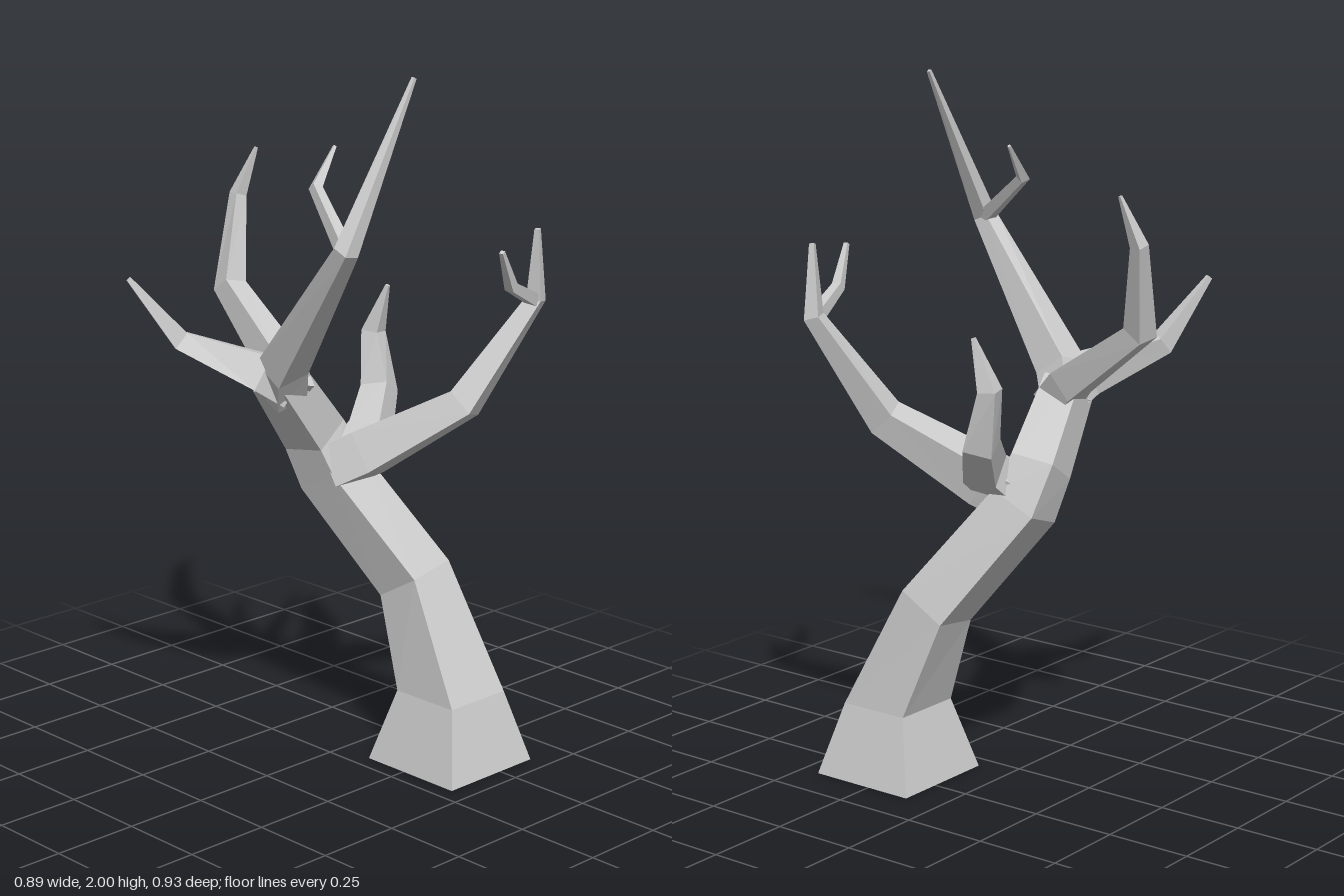
import * as THREE from 'three';

const material = new THREE.MeshStandardMaterial({ color: 0xcccccc, flatShading: true });

// Four-sided tapering limb through points [x, y, z, halfWidth, level?]; level keeps that ring horizontal.
function limb(name, points, reference = [1, 0, 0]) {
  const centres = points.map(p => new THREE.Vector3(p[0], p[1], p[2]));
  const last = points.length - 1;
  const ref = new THREE.Vector3(...reference);
  const positions = [];
  const index = [];
  points.forEach((p, k) => {
    const t = new THREE.Vector3();
    if (p[4]) t.set(0, 1, 0);
    else {
      if (k > 0) t.add(centres[k].clone().sub(centres[k - 1]).normalize());
      if (k < last) t.add(centres[k + 1].clone().sub(centres[k]).normalize());
      t.normalize();
    }
    const u = ref.clone().addScaledVector(t, -ref.dot(t)).normalize();
    const v = t.clone().cross(u);
    for (const [a, b] of [[1, 1], [-1, 1], [-1, -1], [1, -1]]) {
      const c = centres[k].clone().addScaledVector(u, a * p[3]).addScaledVector(v, b * p[3]);
      positions.push(c.x, c.y, c.z);
    }
    ref.copy(u);
    if (k === last) return;
    for (let i = 0; i < 4; i++) {
      const a = k * 4 + i, b = k * 4 + (i + 1) % 4;
      index.push(a, b, b + 4, a, b + 4, a + 4);
    }
  });
  // End caps
  const e = last * 4;
  index.push(0, 2, 1, 0, 3, 2, e, e + 1, e + 2, e, e + 2, e + 3);
  const geometry = new THREE.BufferGeometry();
  geometry.setAttribute('position', new THREE.Float32BufferAttribute(positions, 3));
  geometry.setIndex(index);
  const flat = geometry.toNonIndexed();
  flat.computeVertexNormals();
  const mesh = new THREE.Mesh(flat, material);
  mesh.name = name;
  return mesh;
}

export function createModel() {
  const tree = new THREE.Group();
  tree.name = 'bareTree';
  tree.add(
    // Flared foot, leaning trunk and its bend towards the upper fork
    limb('trunk', [
      [0.215, 0, 0.275, 0.165, 1], [0.215, 0.21, 0.275, 0.108, 1], [0.207, 0.52, 0.135, 0.078],
      [0.09, 0.82, -0.085, 0.073], [0.045, 0.93, -0.11, 0.066], [-0.12, 1.13, -0.085, 0.056],
    ]),
    // Upper fork: tall front branch with a twig
    limb('tallBranch', [
      [-0.1, 1.08, -0.09, 0.05], [-0.145, 1.17, -0.04, 0.052], [-0.242, 1.56, 0.31, 0.024], [-0.001, 1.995, 0.318, 0.005],
    ]),
    limb('tallBranchTwig', [
      [-0.235, 1.56, 0.3, 0.018], [-0.155, 1.695, 0.105, 0.014], [-0.065, 1.795, 0.085, 0.004],
    ]),
    // Upper fork: outer and rear branches
    limb('outerBranch', [
      [-0.1, 1.1, -0.07, 0.05], [-0.175, 1.155, -0.1, 0.052], [-0.32, 1.24, -0.265, 0.027], [-0.44, 1.42, -0.34, 0.007],
    ], [0, 1, 0]),
    limb('rearBranch', [
      [-0.09, 1.08, -0.06, 0.048], [-0.065, 1.15, -0.13, 0.047], [-0.02, 1.33, -0.395, 0.034],
      [0.06, 1.58, -0.445, 0.018], [0.1, 1.715, -0.41, 0.004],
    ]),
    // Lower fork: front branch with a twig
    limb('frontBranch', [
      [0.07, 0.84, -0.05, 0.06], [0.12, 0.89, 0.03, 0.062], [0.262, 1.055, 0.27, 0.042],
      [0.418, 1.35, 0.39, 0.022], [0.405, 1.55, 0.402, 0.007],
    ]),
    limb('frontBranchTwig', [
      [0.415, 1.345, 0.39, 0.018], [0.275, 1.41, 0.425, 0.014], [0.205, 1.52, 0.453, 0.006],
    ], [0, 0, 1]),
    // Lower fork: short side branch
    limb('sideBranch', [
      [0.1, 0.87, -0.02, 0.05], [0.17, 0.93, -0.01, 0.05], [0.28, 1.03, -0.085, 0.041],
      [0.3, 1.19, -0.13, 0.026], [0.31, 1.33, -0.083, 0.005],
    ]),
  );
  return tree;
}
